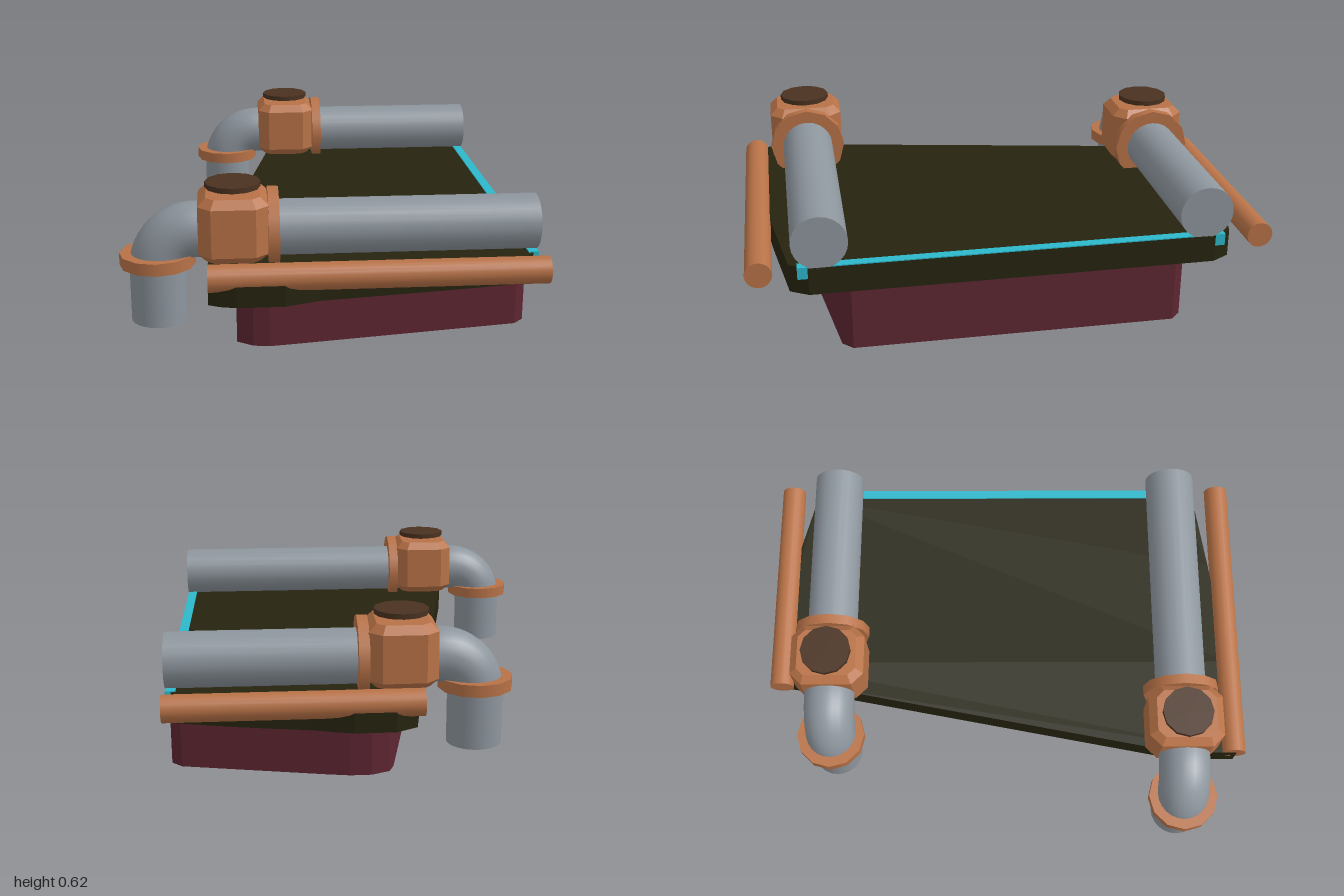
import * as THREE from 'three';

const mat = (name, color) => {
  const m = new THREE.MeshStandardMaterial({ color });
  m.name = name;
  return m;
};

export function createModel() {
  const copper = mat('copper', 0xb87247);
  const steel = mat('steel grey', 0x8d959d);
  const olive = mat('dark olive', 0x26240f);
  const maroon = mat('maroon', 0x5e2632);
  const brown = mat('dark brown', 0x4a3220);
  const cyan = mat('cyan', 0x2db8cc);

  const model = new THREE.Group();
  model.name = 'deckSection';

  const add = (parent, name, geometry, material, x = 0, y = 0, z = 0) => {
    const mesh = new THREE.Mesh(geometry, material);
    mesh.name = name;
    mesh.position.set(x, y, z);
    parent.add(mesh);
    return mesh;
  };

  // Plate with an outline in x and z, extruded downwards
  const plate = (outline, depth) => {
    const shape = new THREE.Shape(outline.map(([x, z]) => new THREE.Vector2(x, z)));
    return new THREE.ExtrudeGeometry(shape, { depth, bevelEnabled: false }).rotateX(Math.PI / 2);
  };

  // Cylinder lying along x, from x0 to x1
  const barX = (r, x0, x1, sides) =>
    new THREE.CylinderGeometry(r, r, x1 - x0, sides).rotateZ(-Math.PI / 2).translate((x0 + x1) / 2, 0, 0);

  // Deck and lower hull
  add(model, 'deck', plate([
    [0.77, 0.77], [0.73, 0.84], [0.4, 0.89], [-0.05, 0.95], [-0.18, 0.995], [-0.35, 0.995],
    [-0.41, 0.98], [-0.45, 0.96], [-0.45, 0.72],
    [-0.145, -0.86], [-0.13, -0.95], [-0.05, -0.995], [0.1, -0.995], [0.25, -0.95],
    [0.5, -0.9], [0.73, -0.84], [0.77, -0.77],
  ], 0.108), olive, 0, 0.348, 0);

  add(model, 'lowerHull', plate([
    [0.77, 0.62], [0.73, 0.66], [-0.12, 0.785], [-0.23, 0.8], [-0.29, 0.79], [-0.35, 0.75], [-0.35, 0.68],
    [-0.07, -0.72], [-0.05, -0.77], [0.02, -0.8], [0.1, -0.8], [0.2, -0.78],
    [0.73, -0.66], [0.77, -0.62],
  ], 0.24), maroon, 0, 0.24, 0);

  // Light strip along the end of the deck
  add(model, 'lightStrip', new THREE.BoxGeometry(0.038, 0.047, 1.62), cyan, 0.75, 0.3285, 0);

  // Side rods
  add(model, 'frontRod', barX(0.05, -0.45, 0.77, 20), copper, 0, 0.335, 0.948);
  add(model, 'backRod', barX(0.05, -0.155, 0.77, 20), copper, 0, 0.335, -0.95);

  // Chamfered valve box
  const c = 0.03, hx = 0.128 - c, hz = 0.15 - c;
  const corners = [
    [hx, hz - c], [hx - c, hz], [c - hx, hz], [-hx, hz - c],
    [-hx, c - hz], [c - hx, -hz], [hx - c, -hz], [hx, c - hz],
  ];
  const boxShape = new THREE.Shape(corners.map(([x, z]) => new THREE.Vector2(x, z)));
  const boxGeometry = new THREE.ExtrudeGeometry(boxShape, {
    depth: 0.24 - 2 * c, bevelSize: c, bevelThickness: c, bevelSegments: 1,
  }).rotateX(Math.PI / 2).translate(0, -c, 0);

  // Quarter bend from the box down to the outlet
  class Bend extends THREE.Curve {
    getPoint(t, target = new THREE.Vector3()) {
      const a = t * Math.PI / 2;
      return target.set(-0.14 * Math.sin(a), 0.14 * Math.cos(a), 0);
    }
  }
  const bendGeometry = new THREE.TubeGeometry(new Bend(), 14, 0.104, 24, false);

  // Pipe assembly, placed by the middle of its valve box
  const pipeAssembly = (name, x, z) => {
    const g = new THREE.Group();
    g.name = name;
    g.position.set(x, 0, z);
    add(g, 'valveBox', boxGeometry, copper, 0, 0.59, 0);
    add(g, 'boxFlange', barX(0.155, 0.125, 0.165, 12), copper, 0, 0.445, 0);
    add(g, 'mainPipe', barX(0.104, 0.1, 0.77 - x, 24), steel, 0, 0.445, 0);
    add(g, 'capStem', new THREE.CylinderGeometry(0.03, 0.03, 0.03, 12), brown, 0, 0.595, 0);
    add(g, 'cap', new THREE.CylinderGeometry(0.102, 0.102, 0.02, 12), brown, 0, 0.615, 0);
    add(g, 'elbow', bendGeometry, steel, -0.14, 0.305, 0);
    add(g, 'elbowStub', barX(0.104, -0.14, -0.1, 24), steel, 0, 0.445, 0);
    add(g, 'outletFlange', new THREE.CylinderGeometry(0.14, 0.14, 0.046, 12), copper, -0.28, 0.338, 0);
    add(g, 'outletPipe', new THREE.CylinderGeometry(0.104, 0.104, 0.22, 24), steel, -0.28, 0.21, 0);
    model.add(g);
  };
  pipeAssembly('frontPipeAssembly', -0.355, 0.725);
  pipeAssembly('backPipeAssembly', -0.092, -0.73);

  return model;
}
